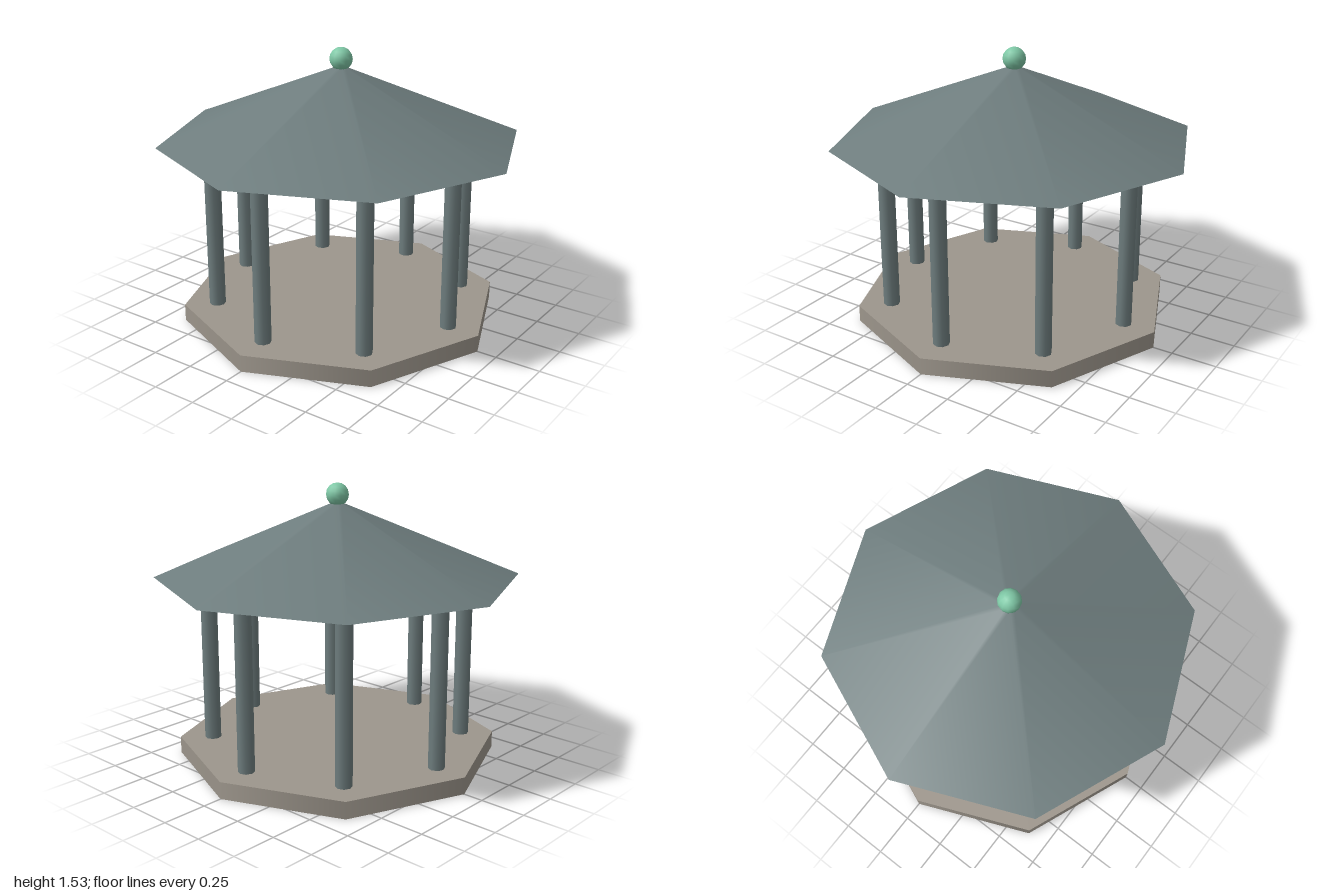
import * as THREE from 'three';

export function createModel() {
  const model = new THREE.Group();
  const mat = (name, color, side = THREE.FrontSide) => {
    const m = new THREE.MeshStandardMaterial({ color, side });
    m.name = name;
    return m;
  };
  const slate = mat('slate', 0x6e7d7e, THREE.DoubleSide);
  const verdigris = mat('verdigris', 0x7fc8a6);
  const stone = mat('stone', 0x9d968c);

  const add = (name, geometry, material, x, y, z) => {
    const mesh = new THREE.Mesh(geometry, material);
    mesh.name = name;
    mesh.position.set(x, y, z);
    model.add(mesh);
    return mesh;
  };

  // Octagonal floor slab
  add('platform', new THREE.CylinderGeometry(0.89, 0.89, 0.094, 8), stone, 0, 0.047, 0);

  // Eight columns standing at the corners
  const columnGeometry = new THREE.CylinderGeometry(0.045, 0.045, 0.89, 8);
  for (let i = 0; i < 8; i++) {
    const a = (i * Math.PI) / 4;
    add('column', columnGeometry, slate, Math.sin(a) * 0.706, 0.535, Math.cos(a) * 0.706);
  }

  // Ceiling plate carried by the columns
  add('ceilingPlate', new THREE.CylinderGeometry(0.797, 0.797, 0.045, 8), verdigris, 0, 0.999, 0);

  // Open eight-sided roof with wide eaves
  add('roof', new THREE.CylinderGeometry(0.03, 1, 0.4, 8, 1, true), slate, 0, 1.224, 0);

  // Ball on the peak
  add('finial', new THREE.SphereGeometry(0.063, 12, 8), verdigris, 0, 1.47, 0);

  return model;
}
